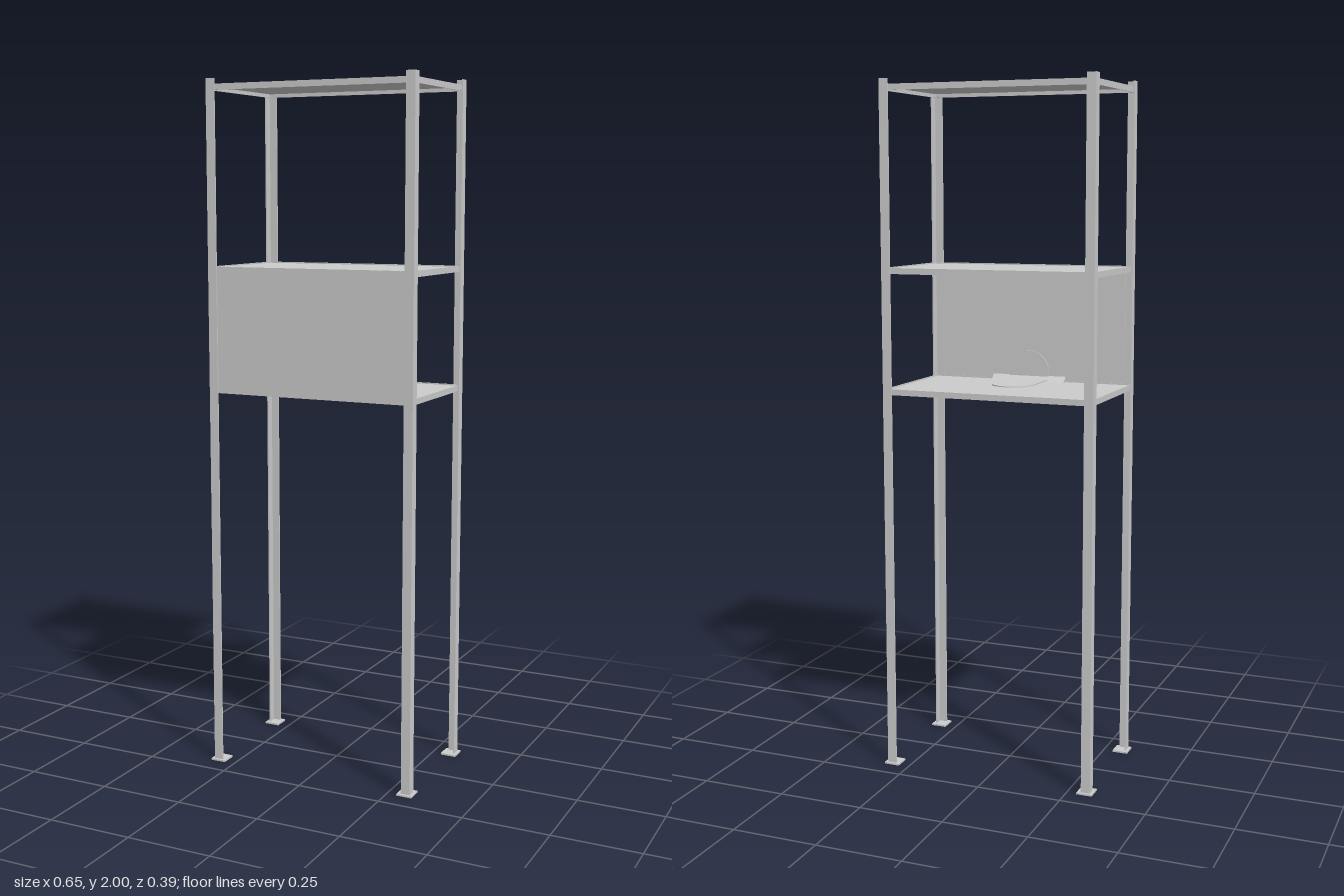
import * as THREE from 'three';

const material = new THREE.MeshStandardMaterial({ color: 0xcccccc, side: THREE.DoubleSide, flatShading: true });

function add(group, name, geometry, x = 0, y = 0, z = 0) {
  const mesh = new THREE.Mesh(geometry, material);
  mesh.name = name;
  mesh.position.set(x, y, z);
  group.add(mesh);
  return mesh;
}

const box = (w, h, d) => new THREE.BoxGeometry(w, h, d);

// Tongue outline: straight base edge, semicircular end
function tongue(width, length, thickness) {
  const r = width / 2;
  const shape = new THREE.Shape();
  shape.moveTo(-r, 0);
  shape.lineTo(r, 0);
  shape.lineTo(r, length - r);
  shape.absarc(0, length - r, r, 0, Math.PI, false);
  shape.closePath();
  return new THREE.ExtrudeGeometry(shape, { depth: thickness, bevelEnabled: false, curveSegments: 16 });
}

// Angle-section upright with its foot plate, at the corner given by signs
function upright(sx, sz) {
  const post = new THREE.Group();
  post.name = 'upright';
  const leg = 0.027, t = 0.004, X = 0.318, Z = 0.186;
  add(post, 'sideFlange', box(t, 2, leg), sx * (X - t / 2), 1, sz * (Z - leg / 2));
  add(post, 'endFlange', box(leg - t, 2, t), sx * (X - t - (leg - t) / 2), 1, sz * (Z - t / 2));
  add(post, 'footPlate', box(0.046, 0.005, 0.047), sx * 0.303, 0.0025, sz * 0.1695);
  return post;
}

// Shelf deck held in a thin folded rim
function shelf(top) {
  const g = new THREE.Group();
  g.name = 'shelf';
  const w = 0.628, d = 0.362, h = 0.017, t = 0.003;
  add(g, 'deck', box(w - 2 * t, 0.003, d - 2 * t), 0, top - 0.005, 0);
  for (const s of [-1, 1]) {
    add(g, 'longRim', box(w, h, t), 0, top - h / 2, s * (d - t) / 2);
    add(g, 'shortRim', box(t, h, d - 2 * t), s * (w - t) / 2, top - h / 2, 0);
  }
  return g;
}

export function createModel() {
  const model = new THREE.Group();
  model.name = 'shelvingRack';

  for (const sx of [-1, 1]) for (const sz of [-1, 1]) model.add(upright(sx, sz));
  for (const top of [1.985, 1.477, 1.131]) model.add(shelf(top));

  // Front panel between the two lower shelves
  add(model, 'frontPanel', box(0.584, 0.357, 0.003), 0, 1.2965, 0.1805);

  // Bookend: upright plate, flat tongue and a low clamp bar at the fold
  const bookend = new THREE.Group();
  bookend.name = 'bookend';
  add(bookend, 'bookendPlate', tongue(0.125, 0.09, 0.003), 0, 1.131, 0.157);
  add(bookend, 'bookendTongue', tongue(0.125, 0.193, 0.003), 0, 1.133, 0.158).rotation.x = -Math.PI / 2;
  const wedge = new THREE.Shape();
  wedge.moveTo(0, 0);
  wedge.lineTo(0.018, 0);
  wedge.lineTo(0, 0.018);
  wedge.closePath();
  const bar = add(bookend, 'clampBar',
    new THREE.ExtrudeGeometry(wedge, { depth: 0.23, bevelEnabled: false }), -0.115, 1.128, 0.159);
  bar.rotation.y = Math.PI / 2;
  model.add(bookend);

  return model;
}
